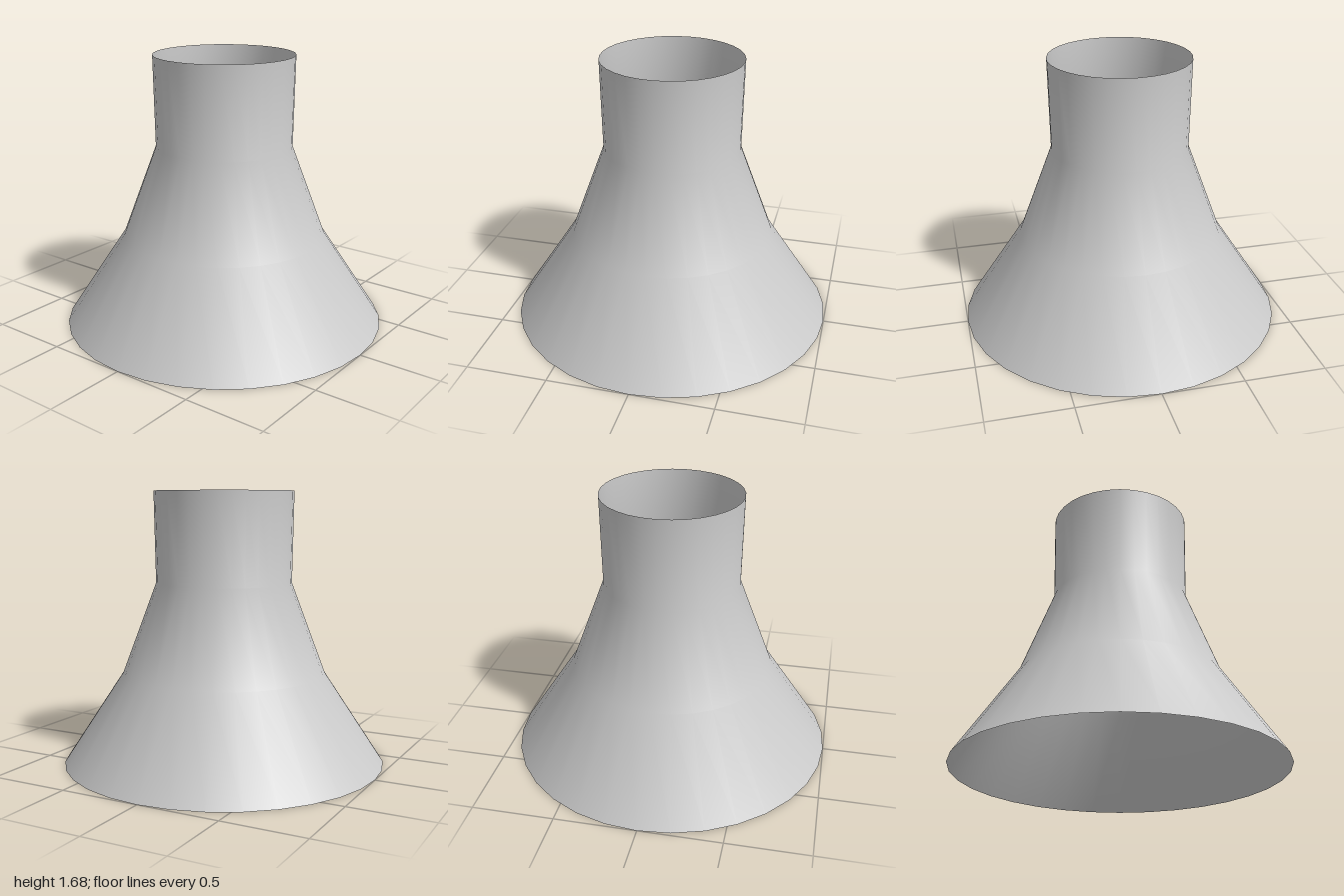
import * as THREE from 'three';

export function createModel() {
  const group = new THREE.Group();
  group.name = 'flaredFunnel';

  // Open shell: wide flared skirt, steeper shoulder, near-straight neck
  const profile = [
    [1.0, 0],
    [0.63, 0.56],
    [0.42, 1.12],
    [0.43, 1.68],
  ].map(([r, y]) => new THREE.Vector2(r, y));

  const shell = new THREE.Mesh(
    new THREE.LatheGeometry(profile, 32),
    new THREE.MeshStandardMaterial({ color: 0xcccccc, side: THREE.DoubleSide })
  );
  shell.name = 'funnelShell';
  group.add(shell);

  return group;
}
